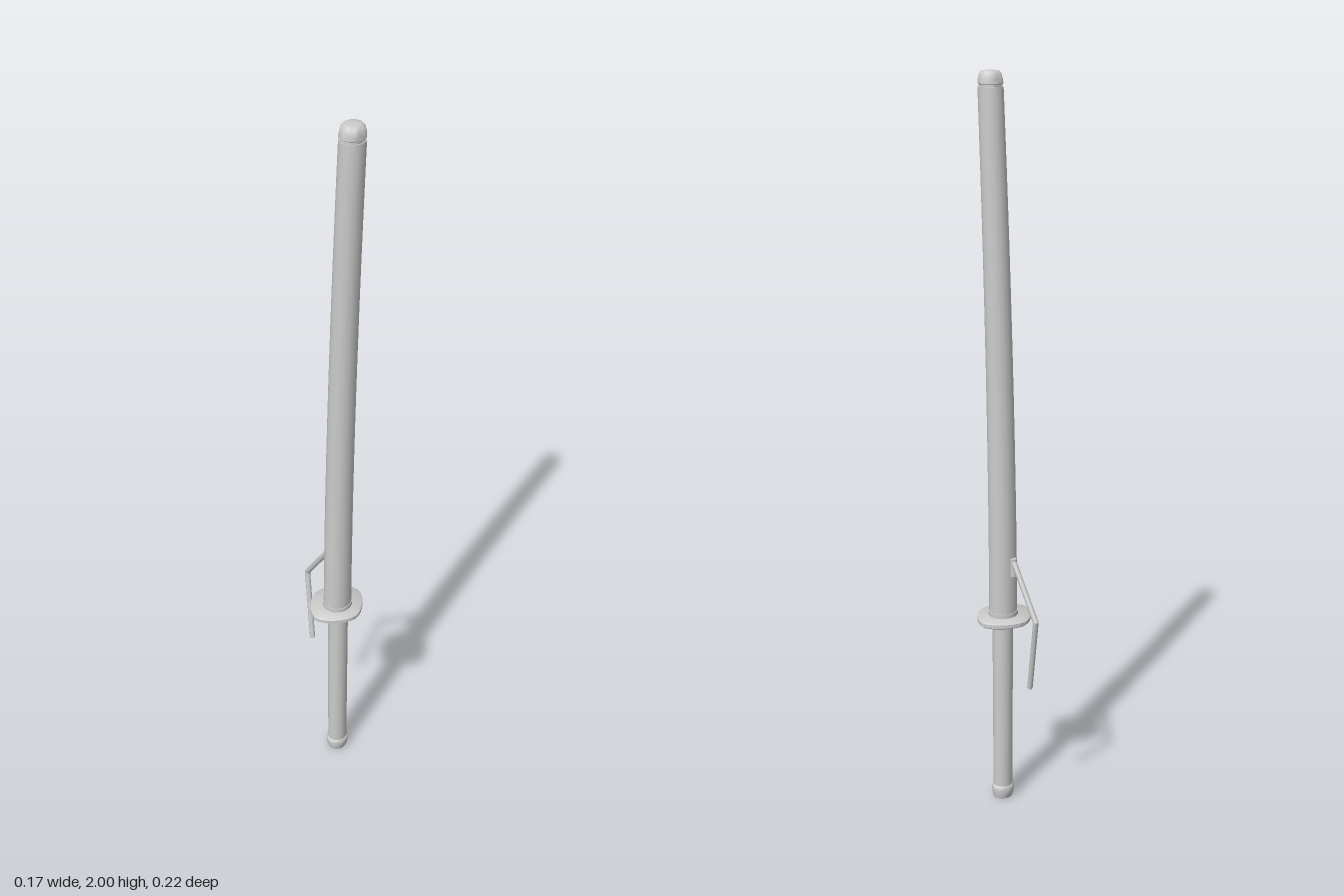
import * as THREE from 'three';
import { toCreasedNormals } from 'three/addons/utils/BufferGeometryUtils.js';

const material = new THREE.MeshStandardMaterial({ color: 0xcccccc });

// Closed loft through horizontal sections [y, zCentre, radiusX, radiusZ], listed bottom to top.
// power 2 gives an ellipse, lower values a rounded diamond.
function loft(sections, sides, power = 2) {
  const pos = [], idx = [];
  const e = 2 / power;
  const bend = (v) => Math.sign(v) * Math.pow(Math.abs(v), e);
  for (const [y, z, rx, rz] of sections) {
    for (let i = 0; i < sides; i++) {
      const a = (i / sides) * Math.PI * 2;
      pos.push(rx * bend(Math.sin(a)), y, z + rz * bend(Math.cos(a)));
    }
  }
  const rows = sections.length, top = (rows - 1) * sides;
  for (let r = 0; r < rows - 1; r++) {
    for (let i = 0; i < sides; i++) {
      const a = r * sides + i, b = r * sides + (i + 1) % sides;
      idx.push(a, b, b + sides, a, b + sides, a + sides);
    }
  }
  // end caps
  const first = sections[0], last = sections[rows - 1], c = rows * sides;
  pos.push(0, first[0], first[1], 0, last[0], last[1]);
  for (let i = 0; i < sides; i++) {
    const j = (i + 1) % sides;
    idx.push(c, j, i, c + 1, top + i, top + j);
  }
  const g = new THREE.BufferGeometry();
  g.setAttribute('position', new THREE.Float32BufferAttribute(pos, 3));
  g.setIndex(idx);
  return toCreasedNormals(g, 0.7);
}

export function createModel() {
  const model = new THREE.Group();
  model.name = 'sheathedSword';
  const add = (name, geometry) => {
    const mesh = new THREE.Mesh(geometry, material);
    mesh.name = name;
    model.add(mesh);
    return mesh;
  };

  // Scabbard: tapers and curves forward towards the tip
  const scabbard = [];
  for (let i = 0; i <= 14; i++) {
    const t = i / 14;
    scabbard.push([0.56 + 1.4 * t, 0.037 + 0.039 * Math.pow(t, 1.7), 0.04 - 0.007 * t, 0.037 - 0.005 * t]);
  }
  add('scabbard', loft(scabbard, 16));

  // Rounded scabbard tip with a narrow groove below it
  add('scabbardTip', loft([
    [1.955, 0.076, 0.030, 0.029], [1.966, 0.076, 0.030, 0.029], [1.968, 0.076, 0.033, 0.032],
    [1.978, 0.077, 0.032, 0.031], [1.992, 0.077, 0.029, 0.028], [1.998, 0.077, 0.024, 0.023],
    [2.0, 0.077, 0.013, 0.013],
  ], 20));

  // Guard: thin rounded diamond plate with softened rim
  add('guard', loft([
    [0.544, 0.033, 0.080, 0.071], [0.547, 0.033, 0.084, 0.075],
    [0.557, 0.033, 0.084, 0.075], [0.560, 0.033, 0.080, 0.071],
  ], 40, 1.6));

  // Collars on either side of the guard
  add('lowerCollar', loft([[0.525, 0.037, 0.036, 0.034], [0.545, 0.037, 0.038, 0.036]], 20));
  add('upperCollar', loft([[0.559, 0.037, 0.042, 0.039], [0.572, 0.037, 0.042, 0.039]], 20));

  // Grip and pommel
  add('grip', loft([[0.03, 0.039, 0.028, 0.026], [0.53, 0.039, 0.029, 0.027]], 16));
  add('pommel', loft([
    [0, 0.039, 0.022, 0.020], [0.003, 0.039, 0.028, 0.025], [0.012, 0.039, 0.031, 0.028],
    [0.03, 0.039, 0.033, 0.030], [0.037, 0.039, 0.032, 0.029], [0.042, 0.039, 0.027, 0.025],
  ], 20));

  // Small knob on the back of the scabbard that holds the cord
  const knob = add('cordKnob', new THREE.CylinderGeometry(0.009, 0.009, 0.05, 10));
  knob.position.set(0, 0.705, -0.001);

  // Hanging cord: two straight lengths with a sharp bend
  const points = [[0, 0.725, 0], [0.022, 0.58, -0.102], [0, 0.368, -0.062]]
    .map((p) => new THREE.Vector3(...p));
  const cord = new THREE.CurvePath();
  cord.add(new THREE.LineCurve3(points[0], points[1]));
  cord.add(new THREE.LineCurve3(points[1], points[2]));
  const up = new THREE.Vector3(0, 1, 0);
  cord.curves.forEach((line, i) => {
    const rod = add(i ? 'cordLower' : 'cordUpper', new THREE.CylinderGeometry(0.0075, 0.0075, line.getLength(), 8));
    rod.position.copy(line.getPoint(0.5));
    rod.quaternion.setFromUnitVectors(up, line.v1.clone().sub(line.v2).normalize());
  });
  const bend = add('cordBend', new THREE.SphereGeometry(0.0075, 10, 8));
  bend.position.copy(points[1]);

  return model;
}
